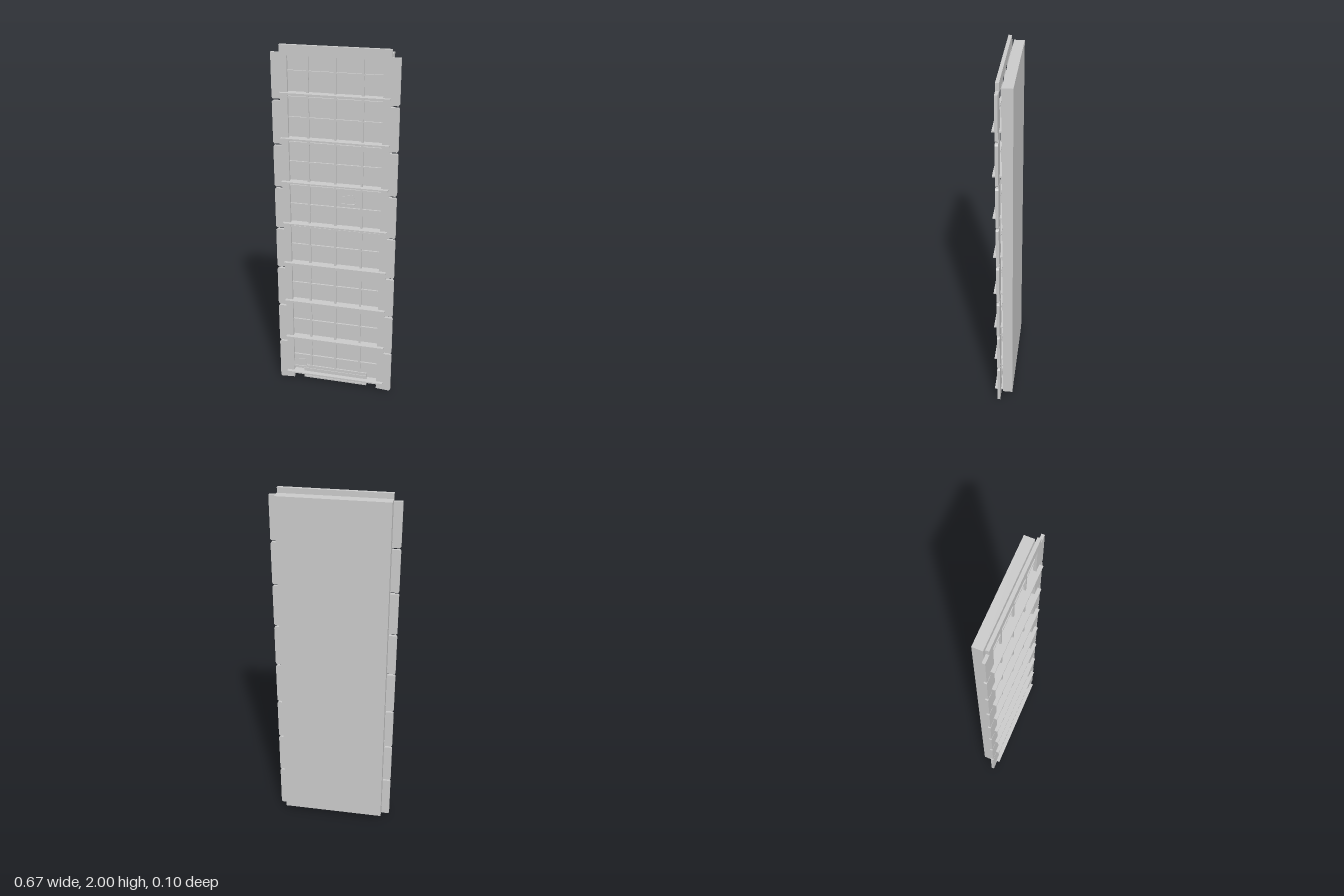
import * as THREE from 'three';

const PITCH = 0.2434;

export function createModel() {
  const model = new THREE.Group();
  const mat = new THREE.MeshStandardMaterial({ color: 0xcccccc, flatShading: true });
  const thin = new THREE.MeshStandardMaterial({ color: 0xcccccc, flatShading: true, side: THREE.DoubleSide });

  const add = (name, geometry, material = mat) => {
    const mesh = new THREE.Mesh(geometry, material);
    mesh.name = name;
    model.add(mesh);
    return mesh;
  };
  // Box given by its limits on each axis
  const box = (name, x0, x1, y0, y1, z0, z1) =>
    add(name, new THREE.BoxGeometry(x1 - x0, y1 - y0, z1 - z0))
      .position.set((x0 + x1) / 2, (y0 + y1) / 2, (z0 + z1) / 2);
  const extrude = (points, depth) => new THREE.ExtrudeGeometry(
    new THREE.Shape(points.map(([x, y]) => new THREE.Vector2(x, y))), { depth, bevelEnabled: false });

  // Thick slab behind the frame
  box('backSlab', -0.29, 0.29, 0.03, 1.975, -0.053, 0.001);

  // Side posts: notched outer edge, one segment per shelf
  for (const side of [-1, 1]) {
    const pts = [[0.25, 0.005], [0.327, 0], [0.335, 0.008]];
    for (let i = 1; i < 8; i++) {
      const y = i * PITCH + 0.014;
      pts.push([0.335, y - 0.014], [0.329, y - 0.007], [0.29, y - 0.007],
        [0.29, y + 0.003], [0.329, y + 0.003], [0.335, y + 0.01]);
    }
    pts.push([0.335, 1.96], [0.29, 1.96], [0.29, 1.97], [0.25, 1.97]);
    const outline = pts.map(([x, y]) => [x * side, y]);
    add(side > 0 ? 'leftPost' : 'rightPost', extrude(outline, 0.016)).position.z = 0.014;
  }

  // Header across the top
  box('header', -0.29, 0.29, 1.945, 2, 0.012, 0.03);

  // Shelves sticking out to the front
  for (let i = 0; i < 8; i++) {
    const y = 0.05 + i * PITCH;
    box('shelf', -0.29, 0.29, y - 0.004, y + 0.004, 0, 0.05);
  }

  // Lattice of thin bars between the posts
  for (const x of [-0.145, 0, 0.145]) box('uprightBar', x - 0.006, x + 0.006, 0.06, 1.95, 0.012, 0.022);
  for (let i = 0; i < 8; i++) {
    const y = 0.163 + i * PITCH;
    box('crossBar', -0.25, 0.25, y - 0.004, y + 0.004, 0.012, 0.022);
    if (i < 7) box('crossBar', -0.25, 0.25, y + 0.104, y + 0.112, 0.012, 0.022);
  }

  // Louvred panel at the foot
  box('footPanel', -0.19, 0.19, 0.01, 0.095, 0.016, 0.024);
  for (const y of [0.02, 0.035, 0.075]) box('footSlat', -0.19, 0.19, y - 0.003, y + 0.003, 0.024, 0.028);

  // Small skewed tags, each on a narrow ledge
  for (const [x, y] of [[0.07, 1.165], [-0.215, 0.088]]) {
    const tag = extrude([[-0.042, 0], [0.042, 0.005], [0.033, 0.055], [-0.03, 0.042]], 0.004);
    add('tag', tag, thin).position.set(x, y, 0.022);
    box('tagLedge', x - 0.04, x + 0.04, y - 0.003, y + 0.002, 0.002, 0.03);
  }

  return model;
}
